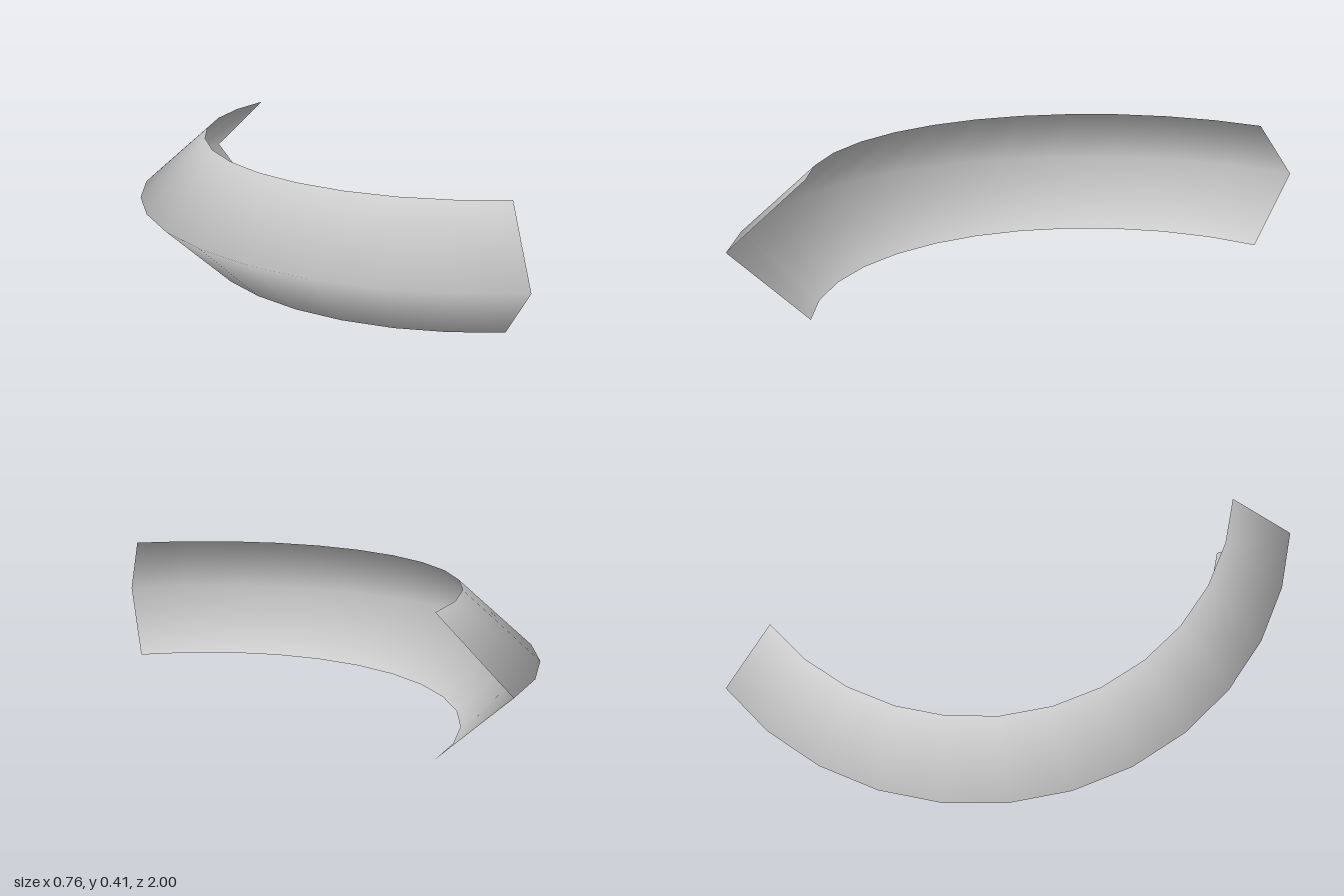
import * as THREE from 'three';

export function createModel() {
  const group = new THREE.Group();

  const ridgeRadius = 1.0824, rimRadius = 0.854, height = 0.412;
  const sweep = THREE.MathUtils.degToRad(135), segments = 12;

  // V-shaped profile, open on the inner side, swept around the arc's centre
  const profile = [
    new THREE.Vector2(rimRadius, 0),
    new THREE.Vector2(ridgeRadius, height / 2),
    new THREE.Vector2(rimRadius, height),
  ];
  const geometry = new THREE.LatheGeometry(profile, segments, Math.PI * 1.5 - sweep / 2, sweep);

  const shell = new THREE.Mesh(
    geometry,
    new THREE.MeshStandardMaterial({ color: 0xcccccc, side: THREE.DoubleSide })
  );
  shell.name = 'curvedShell';

  // Move the arc so that its bounds are centred on x
  shell.position.x = (ridgeRadius + rimRadius * Math.cos(sweep / 2)) / 2;
  group.add(shell);

  return group;
}
